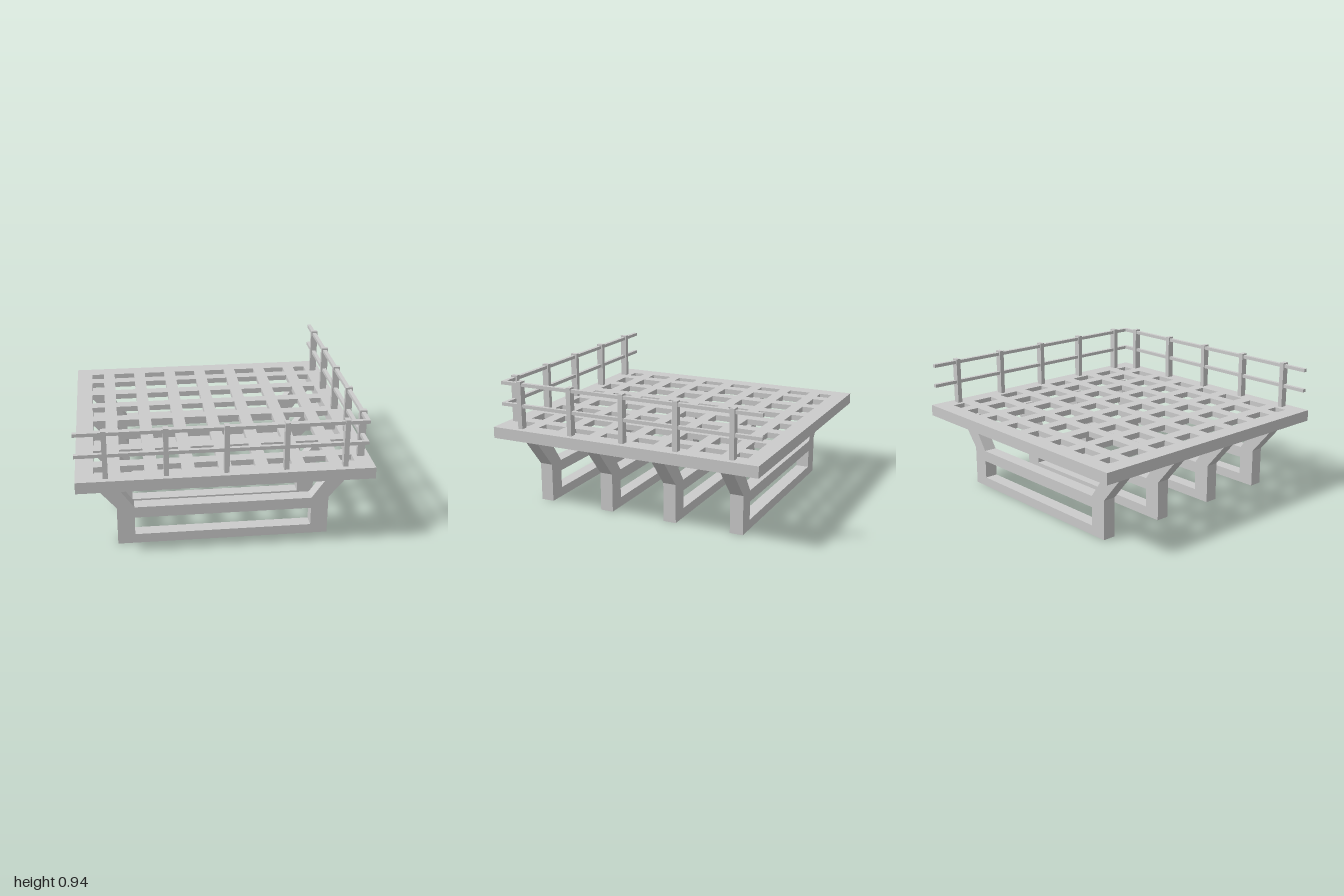
import * as THREE from 'three';

const material = new THREE.MeshStandardMaterial({ color: 0xcccccc, flatShading: true });

function add(parent, name, geometry) {
  const mesh = new THREE.Mesh(geometry, material);
  mesh.name = name;
  parent.add(mesh);
  return mesh;
}

function box(parent, name, [w, h, d], [x, y, z]) {
  const mesh = add(parent, name, new THREE.BoxGeometry(w, h, d));
  mesh.position.set(x, y, z);
  return mesh;
}

const polygon = (points) => points.map(([x, y]) => new THREE.Vector2(x, y));
const rect = (x0, y0, x1, y1) => polygon([[x0, y0], [x1, y0], [x1, y1], [x0, y1]]);

// Flat plate with holes, lying between two heights
function plate(parent, name, half, holes, bottom, top) {
  const shape = new THREE.Shape(rect(-half, -half, half, half));
  holes.forEach((h) => shape.holes.push(new THREE.Path(h)));
  const geometry = new THREE.ExtrudeGeometry(shape, { depth: top - bottom, bevelEnabled: false });
  geometry.rotateX(-Math.PI / 2).translate(0, bottom, 0);
  return add(parent, name, geometry);
}

function createDeck() {
  const deck = new THREE.Group();
  deck.name = 'deck';
  const inner = 0.88;
  plate(deck, 'deckFrame', 1, [rect(-inner, -inner, inner, inner)], 0.517, 0.598);

  // Open spans between the seven slats in each direction
  const slat = 0.0875;
  const spans = [];
  let start = -inner;
  for (let i = -3; i <= 3; i++) {
    spans.push([start, i * 0.248 - slat / 2]);
    start = i * 0.248 + slat / 2;
  }
  spans.push([start, inner]);
  const holes = [];
  for (const [x0, x1] of spans) for (const [z0, z1] of spans) holes.push(rect(x0, z0, x1, z1));
  plate(deck, 'deckGrating', inner, holes, 0.558, 0.598);
  return deck;
}

// Support with a rectangular loop below and two splayed arms above
function createSupports() {
  const supports = new THREE.Group();
  supports.name = 'supports';
  const half = [[0.735, 0], [0.735, 0.28], [0.935, 0.517], [0.782, 0.517], [0.615, 0.28]];
  const mirrored = half.map(([x, y]) => [-x, y]).reverse();
  const shape = new THREE.Shape(polygon([...half, ...mirrored]));
  shape.holes.push(new THREE.Path(rect(-0.615, 0.068, 0.615, 0.2)));
  const width = 0.095;
  const geometry = new THREE.ExtrudeGeometry(shape, { depth: width, bevelEnabled: false });
  geometry.translate(0, 0, -width / 2);
  for (const z of [-0.748, -0.249, 0.249, 0.748]) add(supports, 'support', geometry).position.z = z;
  return supports;
}

// Railing along the front edge and the left edge
function createRailing() {
  const railing = new THREE.Group();
  railing.name = 'railing';
  const edge = 0.938;
  const end = 0.952;
  const length = 1 + end;
  const middle = (end - 1) / 2;
  for (let i = -2; i <= 2; i++) {
    box(railing, 'frontPost', [0.034, 0.34, 0.05], [i * 0.4, 0.767, edge]);
    box(railing, 'leftPost', [0.05, 0.34, 0.034], [edge, 0.767, i * 0.4]);
  }
  for (const y of [0.76, 0.913]) {
    box(railing, 'frontRail', [length, 0.024, 0.028], [middle, y, edge]);
    box(railing, 'leftRail', [0.028, 0.024, length], [edge, y, middle]);
  }
  return railing;
}

export function createModel() {
  const model = new THREE.Group();
  model.name = 'platform';
  model.add(createDeck(), createSupports(), createRailing());
  return model;
}
